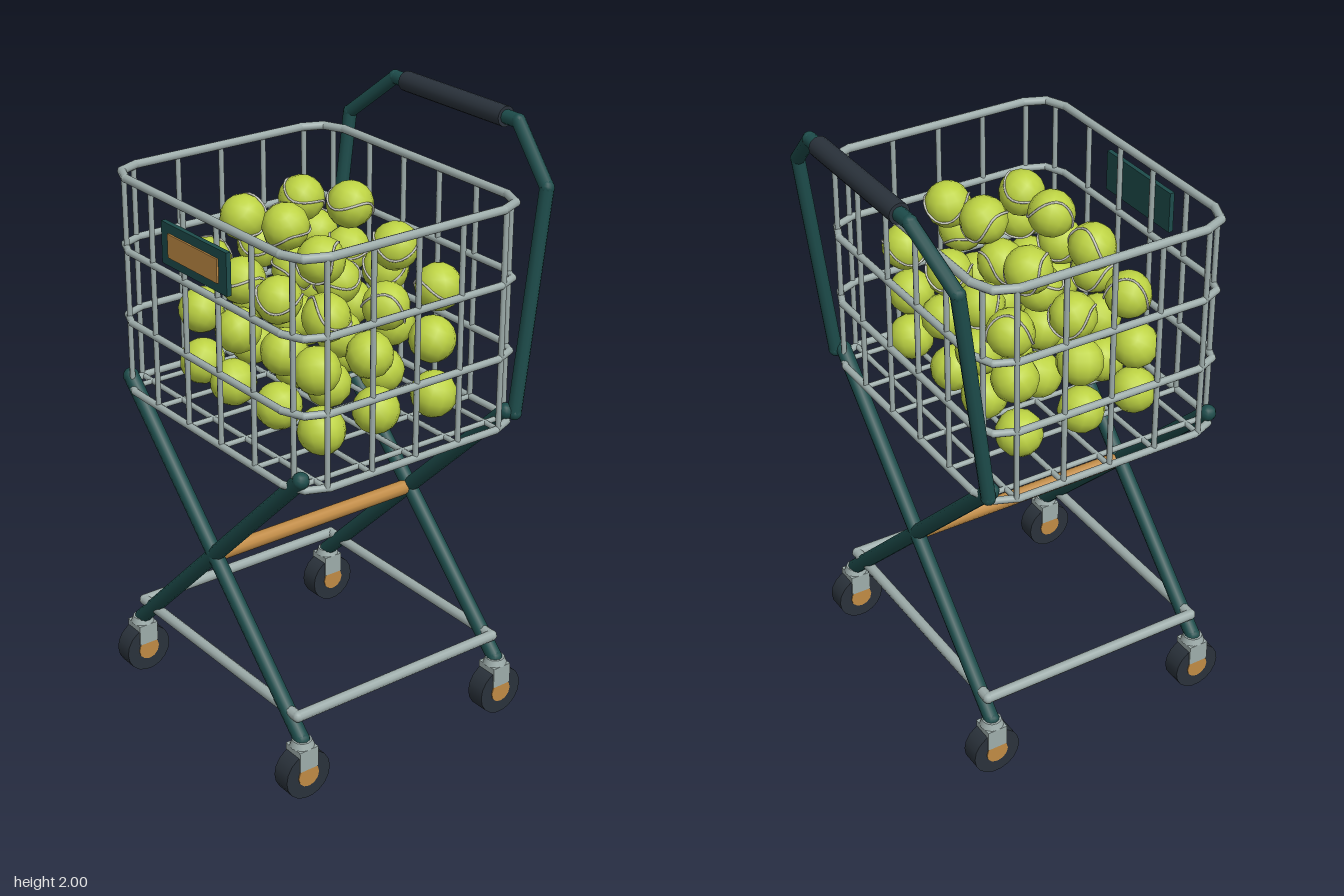
import * as THREE from 'three';

const mat = (name, color) => Object.assign(new THREE.MeshStandardMaterial({ color }), { name });
const V = (x, y, z) => new THREE.Vector3(x, y, z);

export function createModel() {
  const root = new THREE.Group();
  root.name = 'ballCart';
  const green = mat('darkGreen', 0x1d4c4b);
  const steel = mat('steelGrey', 0x9eadab);
  const rubber = mat('charcoalRubber', 0x2a323b);
  const wood = mat('tan', 0xc08b45);
  const felt = mat('ballYellow', 0xbdd343);
  const seamMat = mat('seamGrey', 0xc9cbc0);

  const group = (name, parent = root) => {
    const g = new THREE.Group();
    g.name = name;
    parent.add(g);
    return g;
  };
  const add = (name, geo, material, parent, x = 0, y = 0, z = 0) => {
    const m = new THREE.Mesh(geo, material);
    m.name = name;
    m.position.set(x, y, z);
    parent.add(m);
    return m;
  };

  // Straight round bar between two points
  const bar = (name, a, b, r, material, parent, sides = 10) => {
    const m = add(name, new THREE.CylinderGeometry(r, r, a.distanceTo(b), sides), material, parent);
    m.position.copy(a).add(b).multiplyScalar(0.5);
    m.quaternion.setFromUnitVectors(V(0, 1, 0), b.clone().sub(a).normalize());
    return m;
  };
  // Bent pipe: bars joined by round elbows
  const pipe = (name, pts, r, material, parent, closed = false) => {
    const g = group(name, parent);
    pts.forEach((p, i) => {
      add('elbow', new THREE.SphereGeometry(r * 1.03, 10, 8), material, g, p.x, p.y, p.z);
      if (closed || i < pts.length - 1) bar('pipe', p, pts[(i + 1) % pts.length], r, material, g);
    });
    return g;
  };

  // Wire basket
  const cz = 0.05, hw = 0.505, hd = 0.42, corner = 0.1;
  const floorY = 1.07, rimY = 1.79;
  const basket = group('basket');
  const ringPoints = (y) => {
    const pts = [];
    for (let q = 0; q < 4; q++) {
      const sx = q === 0 || q === 3 ? 1 : -1, sz = q < 2 ? 1 : -1;
      for (let k = 0; k <= 2; k++) {
        const a = (q + k / 2) * Math.PI / 2;
        pts.push(V(sx * (hw - corner) + corner * Math.cos(a), y,
          cz + sz * (hd - corner) + corner * Math.sin(a)));
      }
    }
    return pts;
  };
  [floorY, 1.31, 1.55, rimY].forEach((y) =>
    pipe('basketRing', ringPoints(y), y === rimY ? 0.014 : 0.012, steel, basket, true));
  for (let i = 0; i < 6; i++) {
    const x = -0.442 + i * 0.1768;
    const d = Math.abs(x) > 0.405 ? hd - 0.015 : hd;
    for (const s of [-1, 1])
      bar('uprightWire', V(x, floorY, cz + s * d), V(x, rimY, cz + s * d), 0.009, steel, basket, 8);
    bar('floorWire', V(x, floorY, cz - d), V(x, floorY, cz + d), 0.009, steel, basket, 8);
  }
  for (let i = 0; i < 5; i++) {
    const z = cz - 0.33 + i * 0.165;
    for (const s of [-1, 1])
      bar('uprightWire', V(s * hw, floorY, z), V(s * hw, rimY, z), 0.009, steel, basket, 8);
    bar('floorWire', V(-hw, floorY, z), V(hw, floorY, z), 0.009, steel, basket, 8);
  }

  // Front badge: plate with tan inlay
  const badge = group('frontBadge');
  add('badgePlate', new THREE.BoxGeometry(0.345, 0.135, 0.016), green, badge, 0, 1.66, 0.486);
  add('badgeInlay', new THREE.BoxGeometry(0.262, 0.076, 0.008), wood, badge, 0, 1.66, 0.496);

  // Crossed legs, front and rear
  const legZ = [cz + 0.397, cz - 0.395];
  const legs = group('crossedLegs');
  for (const z of legZ)
    for (const s of [-1, 1])
      pipe('leg', [V(s * 0.465, 1.1, z), V(-s * 0.462, 0.195, z)], 0.026, green, legs);
  bar('pivotBar', V(0, 0.645, -0.325), V(0, 0.645, 0.425), 0.025, wood, root, 10);

  // Lower steel frame
  const f = 0.442, fy = 0.27;
  pipe('lowerFrame', [V(f, fy, legZ[0]), V(-f, fy, legZ[0]), V(-f, fy, legZ[1]), V(f, fy, legZ[1])],
    0.018, steel, root, true);

  // Casters
  for (const z of legZ)
    for (const s of [-1, 1]) {
      const c = group('caster');
      c.position.set(s * 0.463, 0.083, z);
      add('tyre', new THREE.CylinderGeometry(0.083, 0.083, 0.066, 18), rubber, c).rotation.z = Math.PI / 2;
      add('hub', new THREE.CylinderGeometry(0.039, 0.039, 0.072, 12), wood, c).rotation.z = Math.PI / 2;
      add('fork', new THREE.BoxGeometry(0.076, 0.072, 0.07), steel, c, 0, 0.06, 0);
      add('swivel', new THREE.CylinderGeometry(0.032, 0.04, 0.022, 12), steel, c, 0, 0.106, 0);
    }

  // Push handle
  const half = [[0.484, 1.095, -0.365], [0.484, 1.815, -0.457], [0.3, 1.967, -0.5]];
  const handlePts = [...half.map((p) => V(...p)),
    ...half.slice().reverse().map(([x, y, z]) => V(-x, y, z))];
  pipe('pushHandle', handlePts, 0.023, green, root);
  bar('handleGrip', V(-0.243, 1.967, -0.5), V(0.243, 1.967, -0.5), 0.033, rubber, root, 16);

  // Balls, stacked in four layers
  const R = 0.075;
  const ballGeo = new THREE.SphereGeometry(R, 12, 9);
  const seamPts = [];
  for (let i = 0; i < 20; i++) {
    const a = i / 20 * Math.PI * 2, lat = 0.4 * Math.sin(2 * a);
    seamPts.push(V(Math.cos(lat) * Math.cos(a), Math.sin(lat), Math.cos(lat) * Math.sin(a)).multiplyScalar(R));
  }
  const seamGeo = new THREE.TubeGeometry(new THREE.CatmullRomCurve3(seamPts, true), 28, 0.004, 5, true);
  const balls = group('balls');
  let seed = 7;
  const rand = () => (seed = (seed * 16807) % 2147483647) / 2147483647 - 0.5;
  const ball = (x, y, z, seam) => {
    const b = group('ball', balls);
    b.position.set(x, y, z);
    b.rotation.set(rand() * 1.4, rand() * 6, rand() * 1.4);
    add('ballFelt', ballGeo, felt, b);
    if (seam) add('ballSeam', seamGeo, seamMat, b);
  };
  // Two lower layers on a loose grid
  const lower = [[1.165, [-0.32, -0.105, 0.095, 0.33]], [1.335, [-0.305, -0.1, 0.12, 0.31]]];
  for (const [y, xs] of lower)
    for (const x of xs)
      for (const z of [-0.16, 0.055, 0.275])
        ball(x + rand() * 0.035, y + rand() * 0.015, z + rand() * 0.035, false);
  // Third layer and the top heap
  [[-0.3, -0.175], [-0.115, -0.165], [0.1, -0.15], [0.315, -0.185],
    [-0.312, 0.037], [-0.105, 0.05], [0.08, 0.023], [0.33, 0.03],
    [-0.295, 0.247], [-0.105, 0.25], [0.096, 0.257], [0.3, 0.23],
  ].forEach(([x, z]) => ball(x, 1.5 + rand() * 0.02, z, true));
  [[-0.24, 1.66, -0.076], [0.014, 1.71, -0.076], [0.255, 1.65, -0.062],
    [-0.213, 1.655, 0.167], [-0.012, 1.68, 0.15], [0.207, 1.645, 0.18],
  ].forEach(([x, y, z]) => ball(x, y, z, true));

  return root;
}
